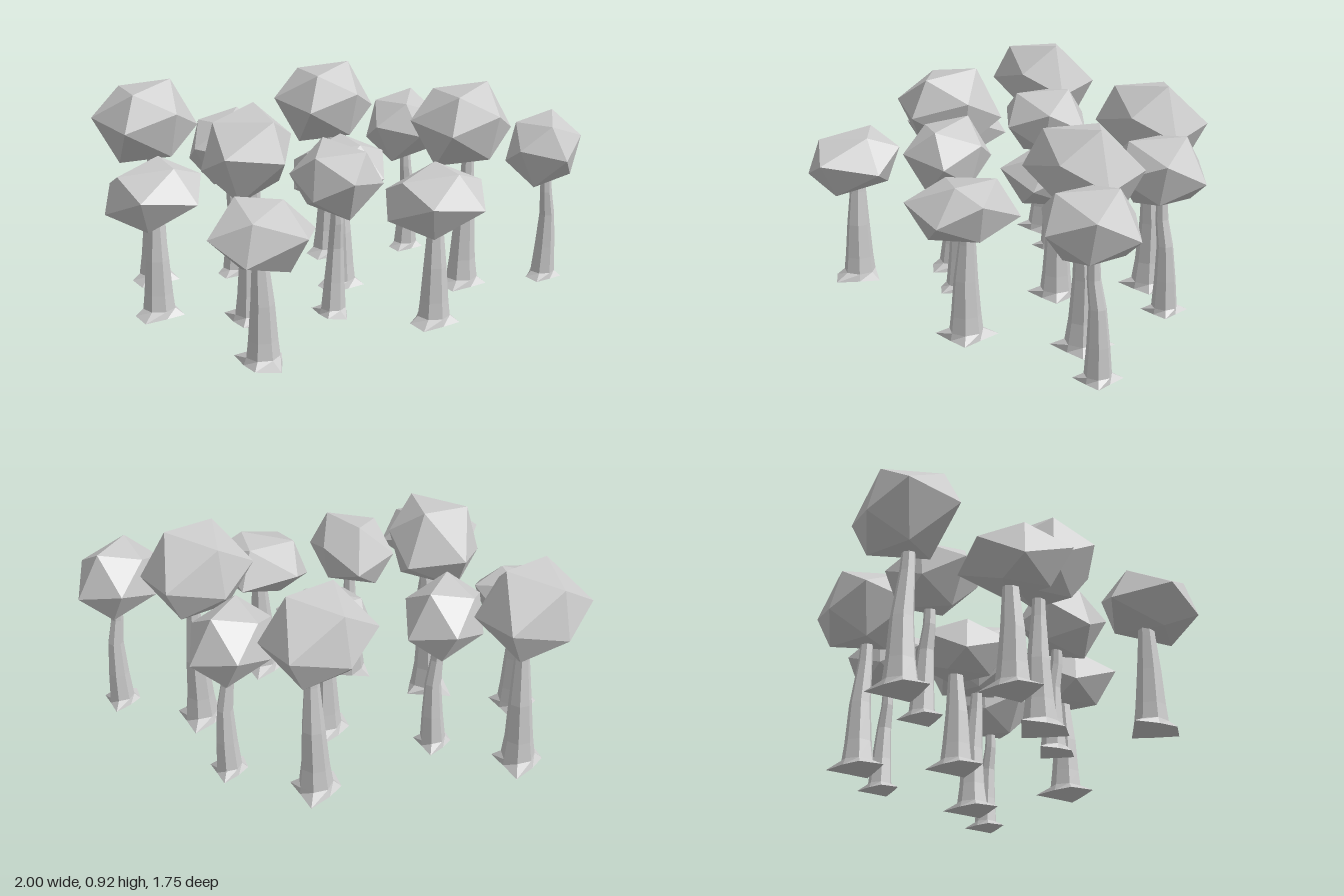
import * as THREE from 'three';
import { ConvexGeometry } from 'three/addons/geometries/ConvexGeometry.js';

const material = new THREE.MeshStandardMaterial({ color: 0xcccccc, flatShading: true });
const SIDES = 7;
const ROOT_REACH = [1.75, 1.05, 1.5, 1.0, 1.8, 1.1, 1.4];

// Each kind: crown height, half of the crown's corners (the rest are opposite),
// and trunk rings from top to base as [y, radius, x, z].
const kinds = {
  tall: {
    crownY: 0.74,
    corners: [[0.09, 0.18, -0.08], [-0.14, 0.14, -0.03], [0.03, 0.155, 0.155],
      [-0.027, 0, -0.235], [0.19, -0.03, -0.135], [0.185, 0.06, 0.055]],
    trunk: [[0.66, 0.024, 0.035, 0], [0.5, 0.032, 0.032, -0.005], [0.3, 0.048, 0.022, -0.015],
      [0.12, 0.06, 0.018, -0.012], [0.03, 0.072, 0.018, -0.01], [0, 0.075, 0.018, -0.01]],
  },
  small: {
    crownY: 0.64,
    corners: [[0.01, 0.15, -0.105], [0.06, 0.13, 0.12], [-0.12, 0.11, 0.02],
      [0.055, -0.03, -0.195], [0.135, -0.01, 0.14], [0.153, 0.06, -0.05]],
    trunk: [[0.56, 0.022, 0.015, -0.015], [0.44, 0.027, 0.018, -0.018], [0.33, 0.034, 0.024, -0.035],
      [0.18, 0.045, 0.02, -0.04], [0.06, 0.054, 0.015, -0.04], [0.035, 0.056, 0.015, -0.04]],
  },
  wide: {
    crownY: 0.54,
    corners: [[-0.04, 0.125, -0.13], [0.1, 0.12, 0], [-0.11, 0.09, 0.1],
      [-0.06, -0.03, -0.222], [0.16, 0.07, -0.128], [0.225, -0.01, 0.04]],
    trunk: [[0.5, 0.028, 0, -0.02], [0.4, 0.036, 0, -0.018], [0.25, 0.05, 0.003, -0.012],
      [0.1, 0.062, 0.003, -0.012], [0.03, 0.07, 0.003, -0.012], [0, 0.074, 0.003, -0.012]],
  },
};

// Tapered, slightly bent trunk whose lowest ring spreads into pointed roots
function trunkGeometry(rings) {
  const geometry = new THREE.CylinderGeometry(1, 1, 1, SIDES, rings.length - 1);
  const p = geometry.attributes.position;
  for (let i = 0; i < p.count; i++) {
    const level = Math.round((0.5 - p.getY(i)) * (rings.length - 1));
    const [y, r, dx, dz] = rings[level];
    const turn = Math.atan2(p.getX(i), p.getZ(i)) / (2 * Math.PI);
    const side = (Math.round(turn * SIDES) + SIDES) % SIDES;
    const reach = level === rings.length - 1 ? ROOT_REACH[side] : 1;
    p.setXYZ(i, p.getX(i) * r * reach + dx, y, p.getZ(i) * r * reach + dz);
  }
  geometry.computeVertexNormals();
  return geometry;
}

// Faceted twenty-sided crown from its corner pairs
function crownGeometry(corners) {
  const points = corners.flatMap((c) => {
    const v = new THREE.Vector3(...c);
    return [v, v.clone().negate()];
  });
  return new ConvexGeometry(points);
}

export function createModel() {
  const forest = new THREE.Group();
  forest.name = 'forest';

  const shapes = {};
  for (const [kind, k] of Object.entries(kinds)) {
    shapes[kind] = { crown: crownGeometry(k.corners), trunk: trunkGeometry(k.trunk) };
  }

  // kind, x, z, turn
  const trees = [
    ['tall', -0.2, -0.585, 0], ['small', 0.15, -0.675, 0], ['wide', 0.01, -0.215, 0],
    ['tall', 0.5, -0.43, 0], ['small', 0.845, -0.525, 0], ['wide', 0.525, 0.045, 0],
    ['tall', -0.81, 0.02, 0], ['small', -0.465, -0.07, 0], ['wide', -0.59, 0.385, 0],
    ['tall', -0.2, 0.305, 1], ['small', 0.155, 0.21, 1], ['wide', 0.025, 0.675, 1],
  ];

  for (const [kind, x, z, turn] of trees) {
    const tree = new THREE.Group();
    tree.name = kind + 'Tree';
    const trunk = new THREE.Mesh(shapes[kind].trunk, material);
    trunk.name = 'trunk';
    const crown = new THREE.Mesh(shapes[kind].crown, material);
    crown.name = 'crown';
    crown.position.y = kinds[kind].crownY;
    tree.add(trunk, crown);
    tree.position.set(x, 0, z);
    tree.rotation.y = turn;
    forest.add(tree);
  }
  return forest;
}
